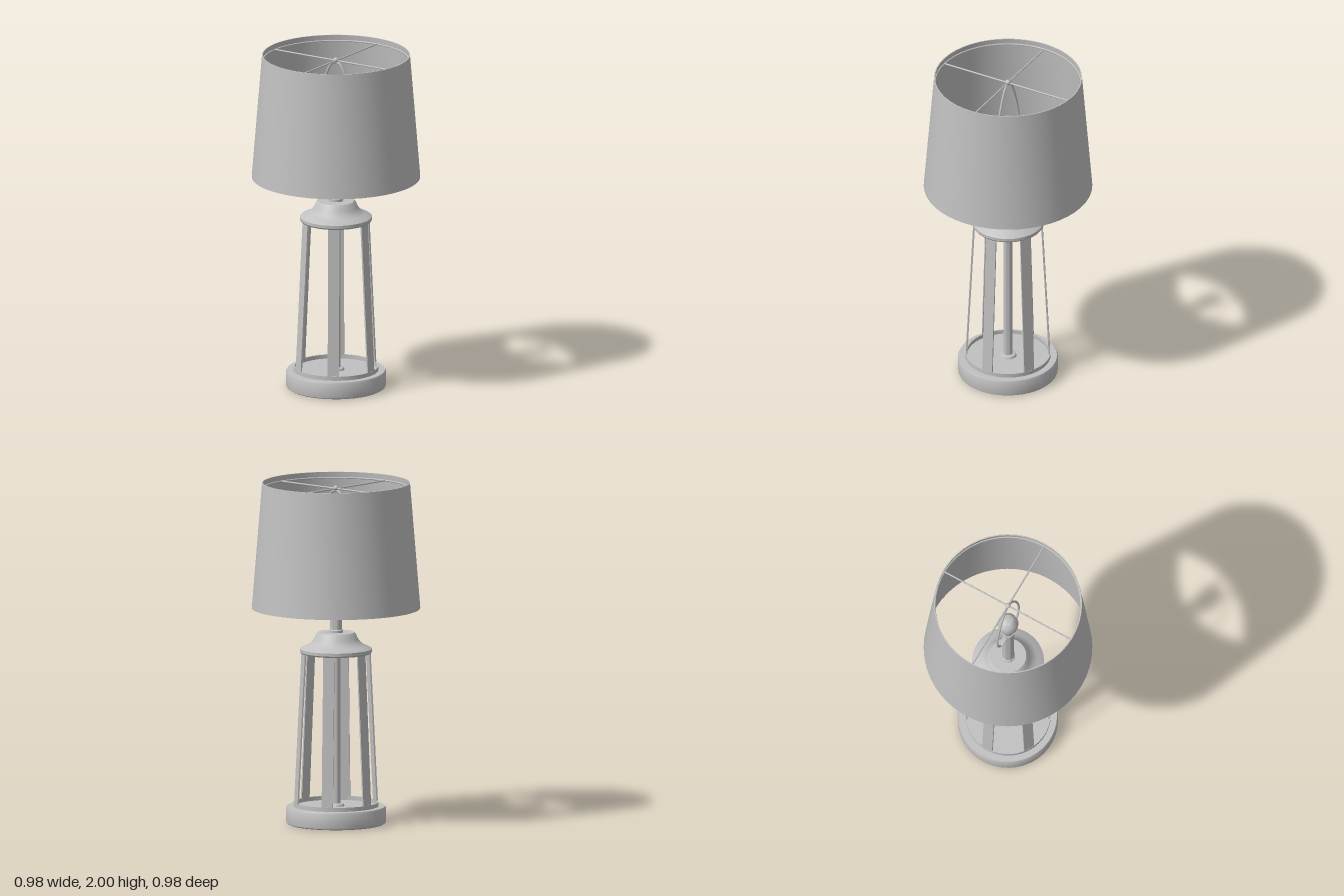
import * as THREE from 'three';
import { toCreasedNormals } from 'three/addons/utils/BufferGeometryUtils.js';

export function createModel() {
  const lamp = new THREE.Group();
  lamp.name = 'tableLamp';
  const grey = new THREE.MeshStandardMaterial({ color: 0xc0c0c0 });
  grey.name = 'plain grey';

  const add = (name, geometry, parent = lamp) => {
    const mesh = new THREE.Mesh(geometry, grey);
    mesh.name = name;
    parent.add(mesh);
    return mesh;
  };
  // Turned part from [radius, height] pairs, listed bottom to top on the outside
  const turned = (name, profile, segments = 40) => {
    const points = profile.map(([r, y]) => new THREE.Vector2(r, y));
    return add(name, toCreasedNormals(new THREE.LatheGeometry(points, segments), 0.6));
  };
  const rod = (name, points, radius, parent) => add(name,
    new THREE.TubeGeometry(new THREE.CatmullRomCurve3(points), 40, radius, 8), parent);

  // Base disc with a small centre boss
  turned('base', [[0, 0], [0.278, 0], [0.288, 0.006], [0.29, 0.015], [0.29, 0.094],
    [0.285, 0.103], [0.05, 0.103], [0.045, 0.115], [0.028, 0.12], [0, 0.12]]);

  // Thin hoop that holds the feet of the slats
  turned('baseHoop', [[0.238, 0.1], [0.248, 0.1], [0.248, 0.127], [0.238, 0.127], [0.238, 0.1]]);

  // Six flat slats leaning inwards
  const slats = new THREE.Group();
  slats.name = 'slats';
  lamp.add(slats);
  const foot = 0.242, head = 0.196, low = 0.1, high = 1.01;
  for (let i = 0; i < 6; i++) {
    const pivot = new THREE.Group();
    pivot.name = 'slatPivot';
    pivot.rotation.y = i * Math.PI / 3;
    slats.add(pivot);
    const slat = add('slat', new THREE.BoxGeometry(0.066, Math.hypot(high - low, foot - head), 0.009), pivot);
    slat.position.set(0, (low + high) / 2, (foot + head) / 2);
    slat.rotation.x = -Math.atan2(foot - head, high - low);
  }

  // Centre pole and the thicker neck above the cap
  turned('centrePole', [[0.027, 0.1], [0.027, 1.01]], 24);
  turned('neck', [[0, 1.1], [0.042, 1.1], [0.042, 1.135], [0.036, 1.14], [0.036, 1.52], [0, 1.52]], 24);

  // Flared cap
  turned('cap', [[0, 1.0], [0.203, 1.0], [0.209, 1.008], [0.209, 1.026], [0.2, 1.033],
    [0.17, 1.045], [0.145, 1.062], [0.127, 1.085], [0.117, 1.11], [0.106, 1.122], [0, 1.122]]);

  // Bulb
  turned('bulb', [[0.028, 1.51], [0.03, 1.55], [0.045, 1.59], [0.058, 1.63], [0.061, 1.665],
    [0.053, 1.7], [0.033, 1.722], [0, 1.73]], 24);

  // Harp loop with its saddle, and the spider that carries the shade
  const frame = new THREE.Group();
  frame.name = 'shadeFrame';
  frame.rotation.y = -Math.PI / 6;
  lamp.add(frame);
  const harp = [[-0.09, 1.5], [-0.115, 1.55], [-0.125, 1.65], [-0.105, 1.77], [-0.07, 1.87], [-0.03, 1.945],
    [0, 1.955]];
  const mirrored = harp.slice(0, -1).reverse().map(([x, y]) => [-x, y]);
  rod('harp', [...harp, ...mirrored].map(([x, y]) => new THREE.Vector3(x, y, 0)), 0.007, frame);
  const saddle = add('harpSaddle', new THREE.BoxGeometry(0.19, 0.01, 0.025), frame);
  saddle.position.y = 1.5;
  for (const turn of [0, Math.PI / 2]) {
    const arm = add('spiderArm', new THREE.CylinderGeometry(0.005, 0.005, 0.852, 8), frame);
    arm.rotation.set(0, turn, Math.PI / 2);
    arm.position.y = 1.965;
  }
  add('finial', new THREE.SphereGeometry(0.016, 16, 12)).position.y = 1.968;

  // Tapered shade with a thin wall
  turned('shade', [[0.484, 1.265], [0.49, 1.265], [0.43, 2.0], [0.424, 2.0], [0.484, 1.265]], 48);
  // Wire ring inside the top rim
  const ring = add('shadeRing', new THREE.TorusGeometry(0.425, 0.005, 8, 48));
  ring.rotation.x = Math.PI / 2;
  ring.position.y = 1.965;

  return lamp;
}
